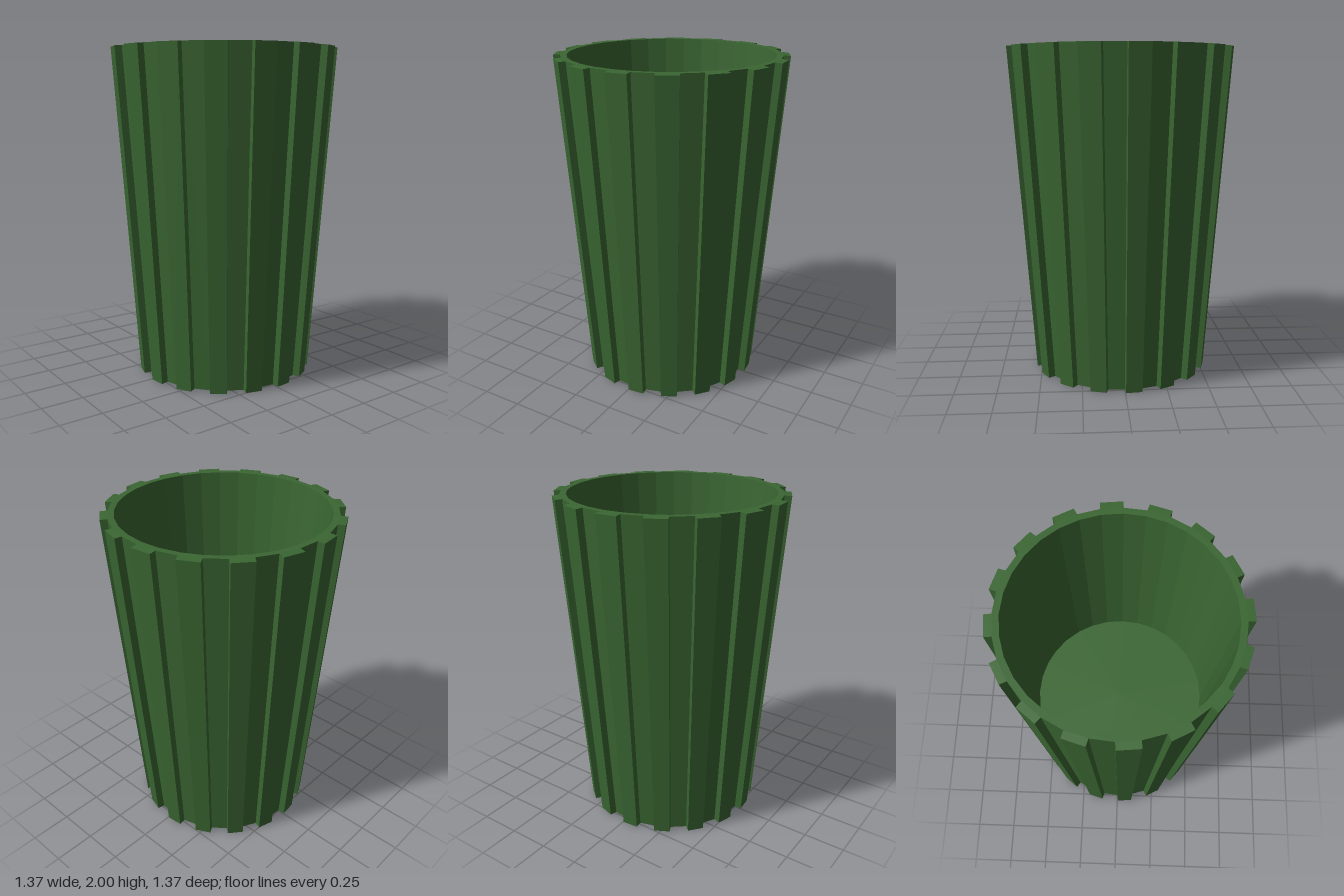
import * as THREE from 'three';

const SIDES = 32;
const BOTTOM = { r: 0.5, y: 0.003 };
const TOP = { r: 0.645, y: 2 };
const RIB_DEPTH = 0.042;

// Tapered open cup: underside, outer wall, rim, inner wall, floor
function createCup(material) {
  const profile = [
    [0, BOTTOM.y], [BOTTOM.r, BOTTOM.y], [TOP.r, TOP.y],
    [0.608, TOP.y], [0.522, 0.85], [0, 0.85],
  ].map(([r, y]) => new THREE.Vector2(r, y));
  const cup = new THREE.Mesh(new THREE.LatheGeometry(profile, SIDES), material);
  cup.name = 'cupBody';
  return cup;
}

// One rib: a wall facet pushed out along its sloping normal
function createRibGeometry() {
  const half = Math.PI / SIDES;
  const slope = (TOP.r - BOTTOM.r) * Math.cos(half) / (TOP.y - BOTTOM.y);
  const normal = new THREE.Vector3(0, -slope, 1).normalize();
  const geometry = new THREE.BoxGeometry(2, 2, 2);
  const pos = geometry.attributes.position;
  const v = new THREE.Vector3();
  for (let i = 0; i < pos.count; i++) {
    const end = pos.getY(i) > 0 ? TOP : BOTTOM;
    const outer = pos.getZ(i) > 0;
    v.set(pos.getX(i) * end.r * Math.sin(half), end.y, end.r * Math.cos(half));
    if (outer) v.addScaledVector(normal, RIB_DEPTH);
    pos.setXYZ(i, v.x, v.y, v.z);
  }
  geometry.computeVertexNormals();
  return geometry;
}

export function createModel() {
  const material = new THREE.MeshStandardMaterial({ color: 0x3a6632, flatShading: true });
  const model = new THREE.Group();
  model.name = 'ribbedCup';
  model.add(createCup(material));

  // Ribs on every other facet
  const ribs = new THREE.Group();
  ribs.name = 'ribs';
  const ribGeometry = createRibGeometry();
  for (let i = 0; i < SIDES / 2; i++) {
    const rib = new THREE.Mesh(ribGeometry, material);
    rib.name = 'rib';
    rib.rotation.y = (2 * i + 0.5) * 2 * Math.PI / SIDES;
    ribs.add(rib);
  }
  model.add(ribs);
  return model;
}
